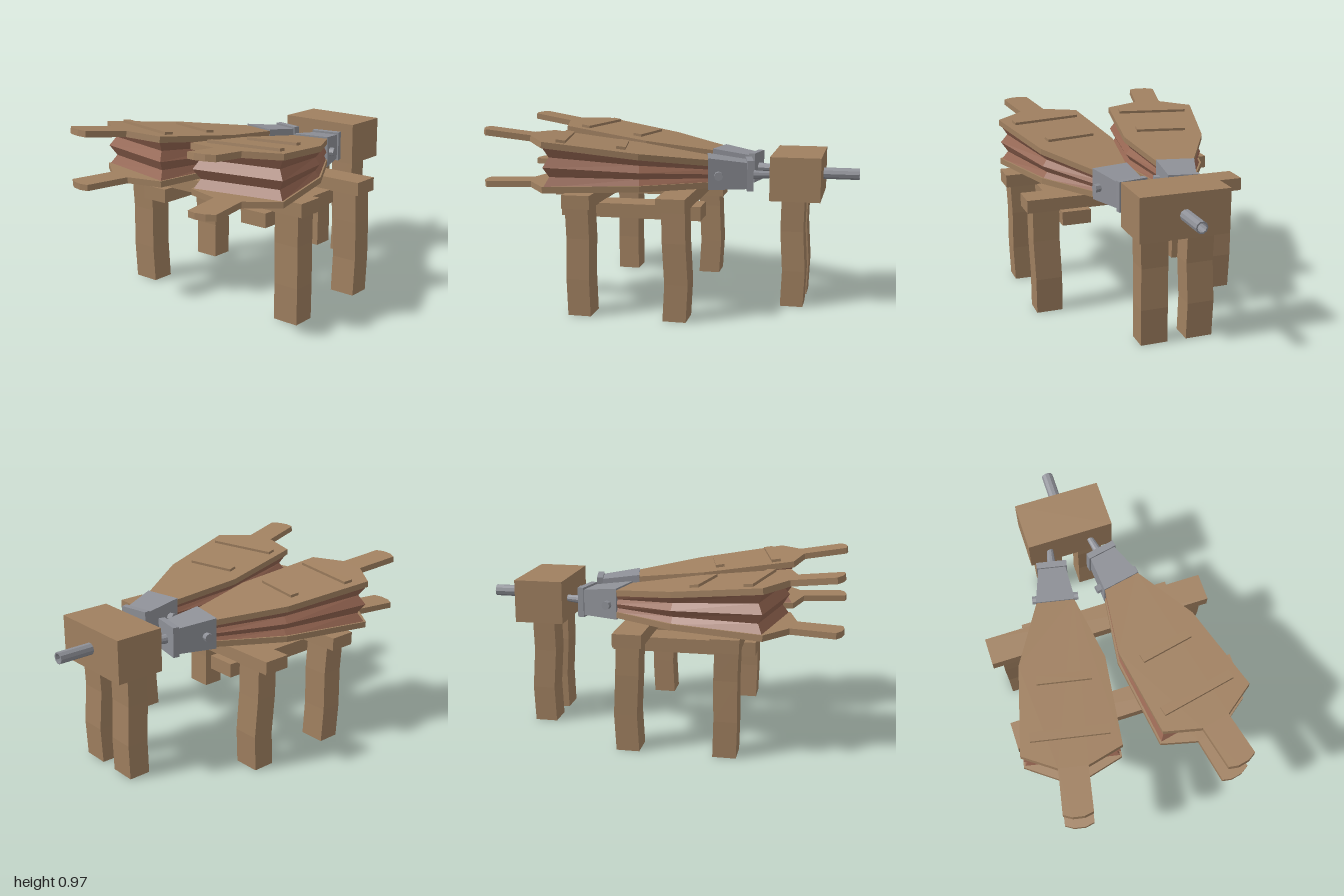
import * as THREE from 'three';

const mat = (color) => new THREE.MeshStandardMaterial({ color, flatShading: true });
const wood = mat(0xa08060);
const leather = mat(0x966652);
leather.side = THREE.DoubleSide;
const metal = mat(0x8e9097);

function add(parent, name, geometry, material, x = 0, y = 0, z = 0) {
  const mesh = new THREE.Mesh(geometry, material);
  mesh.name = name;
  mesh.position.set(x, y, z);
  parent.add(mesh);
  return mesh;
}

// Box given by its minimum and maximum corners
function addBox(parent, name, material, [x0, y0, z0], [x1, y1, z1]) {
  return add(parent, name, new THREE.BoxGeometry(x1 - x0, y1 - y0, z1 - z0), material,
    (x0 + x1) / 2, (y0 + y1) / 2, (z0 + z1) / 2);
}

// Skin over a stack of rings, each counter-clockwise seen from the last ring's side
function loft(rings, capped = true) {
  const pos = [];
  const tri = (a, b, c) => pos.push(...a, ...b, ...c);
  const n = rings[0].length;
  for (let k = 0; k < rings.length - 1; k++) {
    for (let i = 0; i < n; i++) {
      const j = (i + 1) % n;
      tri(rings[k][i], rings[k][j], rings[k + 1][j]);
      tri(rings[k][i], rings[k + 1][j], rings[k + 1][i]);
    }
  }
  if (capped) {
    const first = rings[0], last = rings[rings.length - 1];
    for (let i = 1; i < n - 1; i++) {
      tri(first[0], first[i + 1], first[i]);
      tri(last[0], last[i], last[i + 1]);
    }
  }
  const g = new THREE.BufferGeometry();
  g.setAttribute('position', new THREE.Float32BufferAttribute(pos, 3));
  g.computeVertexNormals();
  return g;
}

// Rough-hewn leg: four sections that wander a little in x and z
function leg(parent, name, x, z, top, bendX, bendZ) {
  const hx = 0.062, hz = 0.073;
  const rings = [0, 0.2, 0.42, top].map((y, k) => {
    const cx = x + bendX[k], cz = z + bendZ[k];
    return [[cx + hx, y, cz + hz], [cx + hx, y, cz - hz], [cx - hx, y, cz - hz], [cx - hx, y, cz + hz]];
  });
  add(parent, name, loft(rings), wood);
}

// Paddle outline with a handle, symmetric about its long axis
function boardGeometry() {
  const half = [[-0.85, 0.03], [-0.832, 0.077], [-0.592, 0.077], [-0.505, 0.26], [0, 0.23], [0.38, 0.1]];
  const outline = [...half, ...half.slice().reverse().map(([u, v]) => [u, -v])];
  const shape = new THREE.Shape(outline.map(([u, v]) => new THREE.Vector2(u, v)));
  return new THREE.ExtrudeGeometry(shape, { depth: 0.033, bevelEnabled: false }).rotateX(Math.PI / 2);
}

const SLOPE = 0.134;

function board(parent, name, y, tilt, slatY) {
  const group = new THREE.Group();
  group.name = name;
  group.position.y = y;
  group.rotation.z = -tilt;
  add(group, 'board', boardGeometry(), wood);
  for (const [u, length] of [[-0.414, 0.41], [-0.1, 0.29]]) {
    add(group, 'slat', new THREE.BoxGeometry(0.05, 0.016, length), wood, u, slatY, 0);
  }
  parent.add(group);
}

// Pleated skin between the two boards
function pleatsGeometry() {
  const rings = [];
  for (let k = 0; k <= 4; k++) {
    const t = k / 4, fold = k % 2;
    const side = [[-0.5 + 0.03 * fold, 0.253 - 0.03 * fold], [0, 0.222 - 0.025 * fold], [0.385, 0.094 - 0.012 * fold]];
    const point = ([u, v]) => [u, THREE.MathUtils.lerp(0.685, 0.83 - SLOPE * u, t), v];
    rings.push([
      ...side.map(point),
      ...side.slice().reverse().map(([u, v]) => point([u, -v])),
    ]);
  }
  return loft(rings, false);
}

function bellows(name, z, turn) {
  const group = new THREE.Group();
  group.name = name;
  group.position.set(-0.17, 0, z);
  group.rotation.y = turn;
  board(group, 'upperBoard', 0.86, SLOPE, 0.007);
  board(group, 'lowerBoard', 0.69, 0, -0.04);
  add(group, 'pleats', pleatsGeometry(), leather);

  // Tapered metal nose with a flange, side bolts and a spout
  const section = (u, y0, y1, v) => [[u, y1, -v], [u, y1, v], [u, y0, v], [u, y0, -v]];
  add(group, 'nose', loft([section(0.365, 0.648, 0.82, 0.107), section(0.58, 0.648, 0.79, 0.075)]), metal);
  addBox(group, 'flange', metal, [0.575, 0.636, -0.084], [0.61, 0.802, 0.084]);
  for (const s of [1, -1]) {
    add(group, 'bolt', new THREE.CylinderGeometry(0.024, 0.024, 0.04, 8).rotateX(Math.PI / 2),
      metal, 0.42, 0.725, s * 0.108);
  }
  add(group, 'spout', new THREE.CylinderGeometry(0.015, 0.026, 0.16, 10).rotateZ(-Math.PI / 2),
    metal, 0.685, 0.715, 0);
  return group;
}

export function createModel() {
  const model = new THREE.Group();
  model.name = 'doubleBellows';

  // Trestle: cross beams, rails and four legs
  addBox(model, 'crossBeam', wood, [-0.5, 0.585, -0.63], [-0.35, 0.657, 0.63]);
  addBox(model, 'crossBeam', wood, [0, 0.585, -0.63], [0.153, 0.657, 0.63]);
  addBox(model, 'rail', wood, [-0.56, 0.512, 0.29], [0.2, 0.588, 0.45]);
  addBox(model, 'rail', wood, [-0.56, 0.512, -0.41], [0.2, 0.588, -0.25]);
  for (const [z, s] of [[0.522, 1], [-0.492, -1]]) {
    leg(model, 'trestleLeg', -0.425, z, 0.59, [0, -0.004, 0, -0.004], [0, s * 0.006, s * 0.003, s * 0.008]);
    leg(model, 'trestleLeg', 0.09, z, 0.59, [0, 0.011, 0, -0.004], [0, s * 0.002, s * 0.008, s * 0.005]);
  }

  // Air block on two legs with a hollow outlet pipe
  addBox(model, 'airBlock', wood, [0.533, 0.592, -0.25], [0.805, 0.83, 0.235]);
  for (const s of [1, -1]) {
    leg(model, 'blockLeg', 0.66, s * 0.125 - 0.004, 0.6, [0, 0.008, -0.006, -0.002], [0, s * 0.003, s * -0.002, s * 0.002]);
  }
  const pipe = [[0, 0], [0.032, 0], [0.032, 0.2], [0.024, 0.2], [0.024, 0.03], [0, 0.03]];
  add(model, 'outletPipe',
    new THREE.LatheGeometry(pipe.map(([r, h]) => new THREE.Vector2(r, h)), 10).rotateZ(-Math.PI / 2),
    metal, 0.8, 0.715, -0.007);

  model.add(bellows('leftBellows', 0.25, 0.2));
  model.add(bellows('rightBellows', -0.275, -0.2));
  return model;
}
